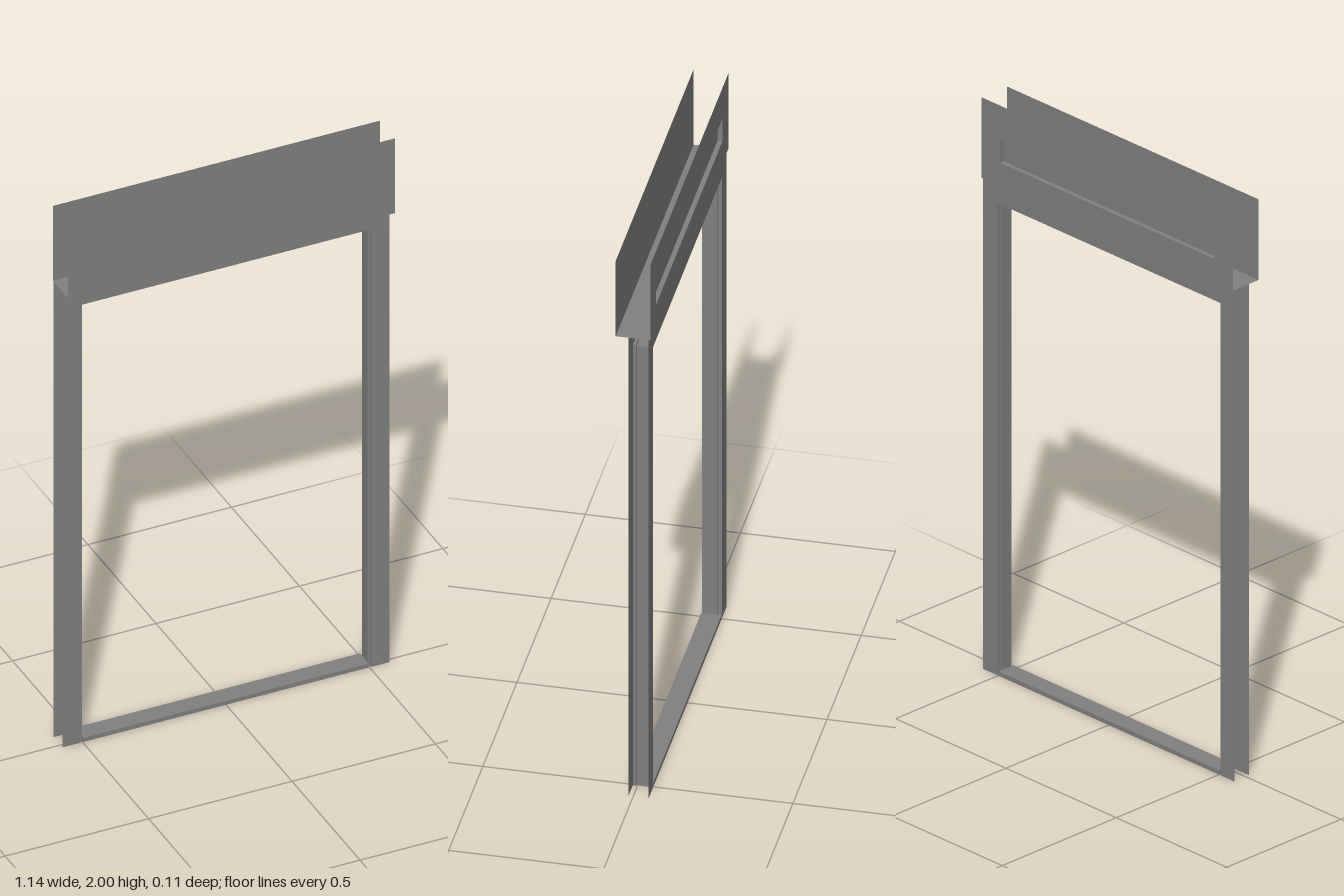
import * as THREE from 'three';

const material = new THREE.MeshStandardMaterial({ color: 0x808080, side: THREE.DoubleSide });

// Main sizes: half width, casing height, total height, opening half width and height
const W = 0.57, H = 1.718, TOP = 2, OW = 0.506, OH = 1.651, STOP = 0.008;
const FRONT = 0.015, BACK = -0.05, HEAD = 0.056;

function add(parent, name, geometry, x = 0, y = 0, z = 0) {
  const mesh = new THREE.Mesh(geometry, material);
  mesh.name = name;
  mesh.position.set(x, y, z);
  parent.add(mesh);
}

const outline = (pts) => pts.map(([x, y]) => new THREE.Vector2(x, y));

// Flat sheet facing forward, or backward when back is true
function sheet(pts, hole, back) {
  const shape = new THREE.Shape(outline(pts));
  if (hole) shape.holes.push(new THREE.Path(outline(hole)));
  const geometry = new THREE.ShapeGeometry(shape);
  if (back) geometry.rotateY(Math.PI);
  return geometry;
}

const rect = (w, y0, y1) => [[-w, y0], [w, y0], [w, y1], [-w, y1]];

// Stepped lining swept up one side, across the top and down the other
function liningGeometry() {
  const profile = [[0, FRONT], [0, 0.005], [STOP, 0.005], [STOP, -0.035], [0, -0.035], [0, BACK]];
  const path = ([d, z]) => [[-OW + d, 0, z], [-OW + d, OH - d, z], [OW - d, OH - d, z], [OW - d, 0, z]];
  const positions = [];
  for (let i = 0; i < profile.length - 1; i++) {
    const a = path(profile[i]), b = path(profile[i + 1]);
    for (let j = 0; j < 3; j++) {
      for (const p of [a[j], b[j], b[j + 1], a[j], b[j + 1], a[j + 1]]) positions.push(...p);
    }
  }
  const geometry = new THREE.BufferGeometry();
  geometry.setAttribute('position', new THREE.Float32BufferAttribute(positions, 3));
  geometry.computeVertexNormals();
  return geometry;
}

export function createModel() {
  const model = new THREE.Group();
  model.name = 'doorFrame';

  // Casing sheets on both faces of the wall
  const casing = [[-W, 0], [-OW, 0], [-OW, OH], [OW, OH], [OW, 0], [W, 0], [W, H], [-W, H]];
  add(model, 'frontCasing', sheet(casing), 0, 0, FRONT);
  add(model, 'backCasing', sheet(casing, null, true), 0, 0, BACK);

  // Lining with the door stop, and the threshold between the stops
  add(model, 'jambLining', liningGeometry());
  add(model, 'threshold', new THREE.BoxGeometry(2 * (OW - STOP), 0.015, FRONT - BACK), 0, 0.0075, (FRONT + BACK) / 2);

  // Header: a channel open at the top and ends
  const header = new THREE.Group();
  header.name = 'header';
  model.add(header);
  const slotW = 0.485, y0 = 1.80, y1 = 1.886, depth = 0.016;
  add(header, 'headerFront', sheet(rect(W, H, TOP)), 0, 0, HEAD);
  add(header, 'headerBack', sheet(rect(W, H, TOP), rect(slotW, y0, y1), true), 0, 0, -HEAD);
  add(header, 'headerFloor', new THREE.PlaneGeometry(2 * W, 2 * HEAD).rotateX(-Math.PI / 2), 0, H, 0);

  // Shallow pocket sunk into the back of the header
  const midY = (y0 + y1) / 2, midZ = -HEAD + depth / 2;
  add(header, 'pocketPanel', sheet(rect(slotW, y0, y1), null, true), 0, 0, -HEAD + depth);
  for (const s of [-1, 1]) {
    add(header, s < 0 ? 'pocketFloor' : 'pocketCeiling',
      new THREE.PlaneGeometry(2 * slotW, depth).rotateX(s * Math.PI / 2), 0, midY + s * (y1 - y0) / 2, midZ);
    add(header, s < 0 ? 'pocketRightEnd' : 'pocketLeftEnd',
      new THREE.PlaneGeometry(depth, y1 - y0).rotateY(-s * Math.PI / 2), s * slotW, midY, midZ);
  }
  return model;
}
